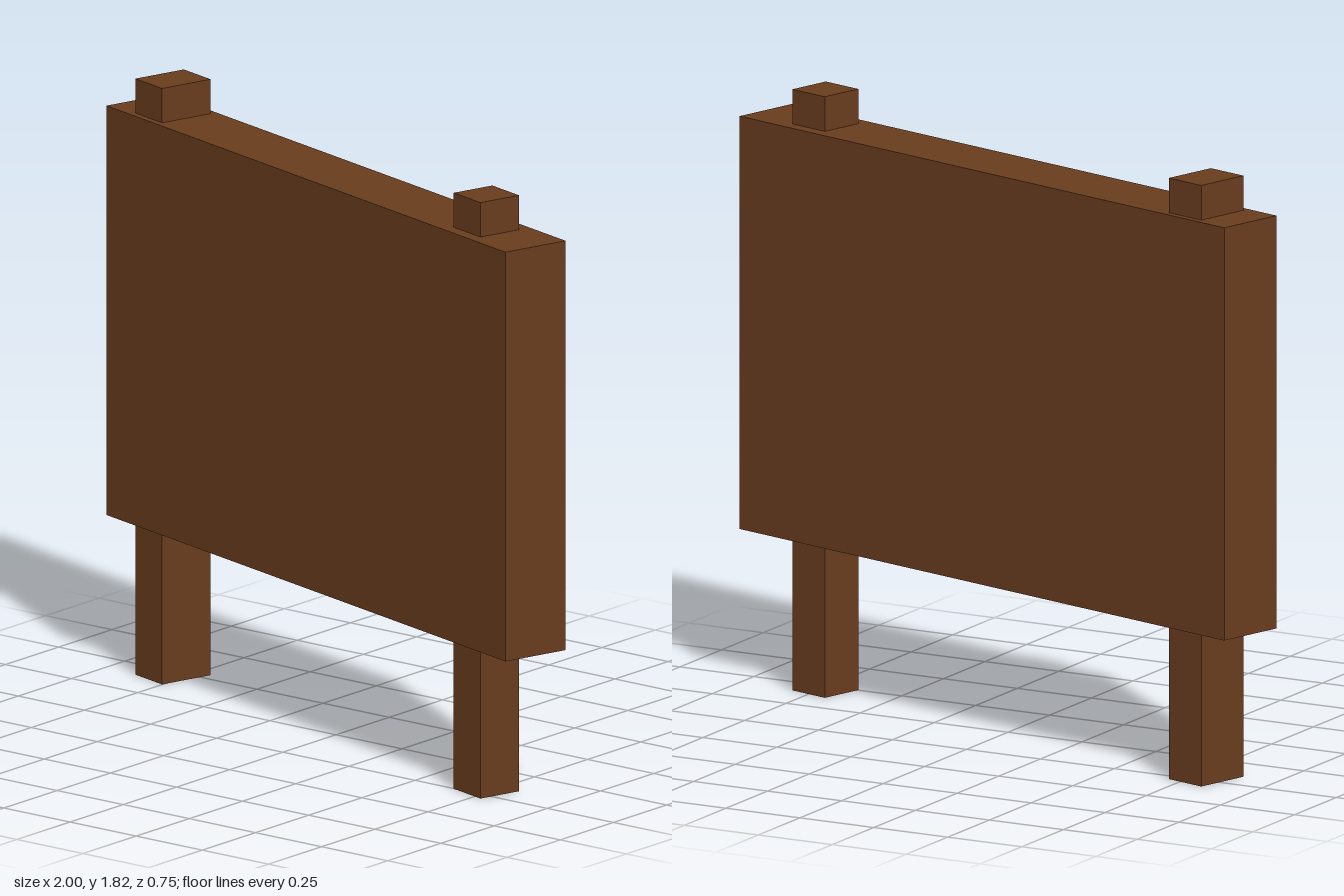
import * as THREE from 'three';

export function createModel() {
  const group = new THREE.Group();
  const wood = new THREE.MeshStandardMaterial({ color: 0x6a3d1e, flatShading: true });

  // box standing at height y0..y1
  function block(name, width, y0, y1, depth, x) {
    const mesh = new THREE.Mesh(new THREE.BoxGeometry(width, y1 - y0, depth), wood);
    mesh.name = name;
    mesh.position.set(x, (y0 + y1) / 2, 0);
    sign.add(mesh);
  }

  // whole sign is turned about the vertical
  const sign = new THREE.Group();
  sign.name = 'signboard';
  sign.rotation.y = -0.27;
  group.add(sign);

  block('board', 2.014, 0.465, 1.715, 0.218, 0);
  // posts run through the board and stand proud of its top
  block('rightPost', 0.135, 0, 1.82, 0.176, -0.823);
  block('leftPost', 0.135, 0, 1.82, 0.14, 0.759);

  return group;
}
